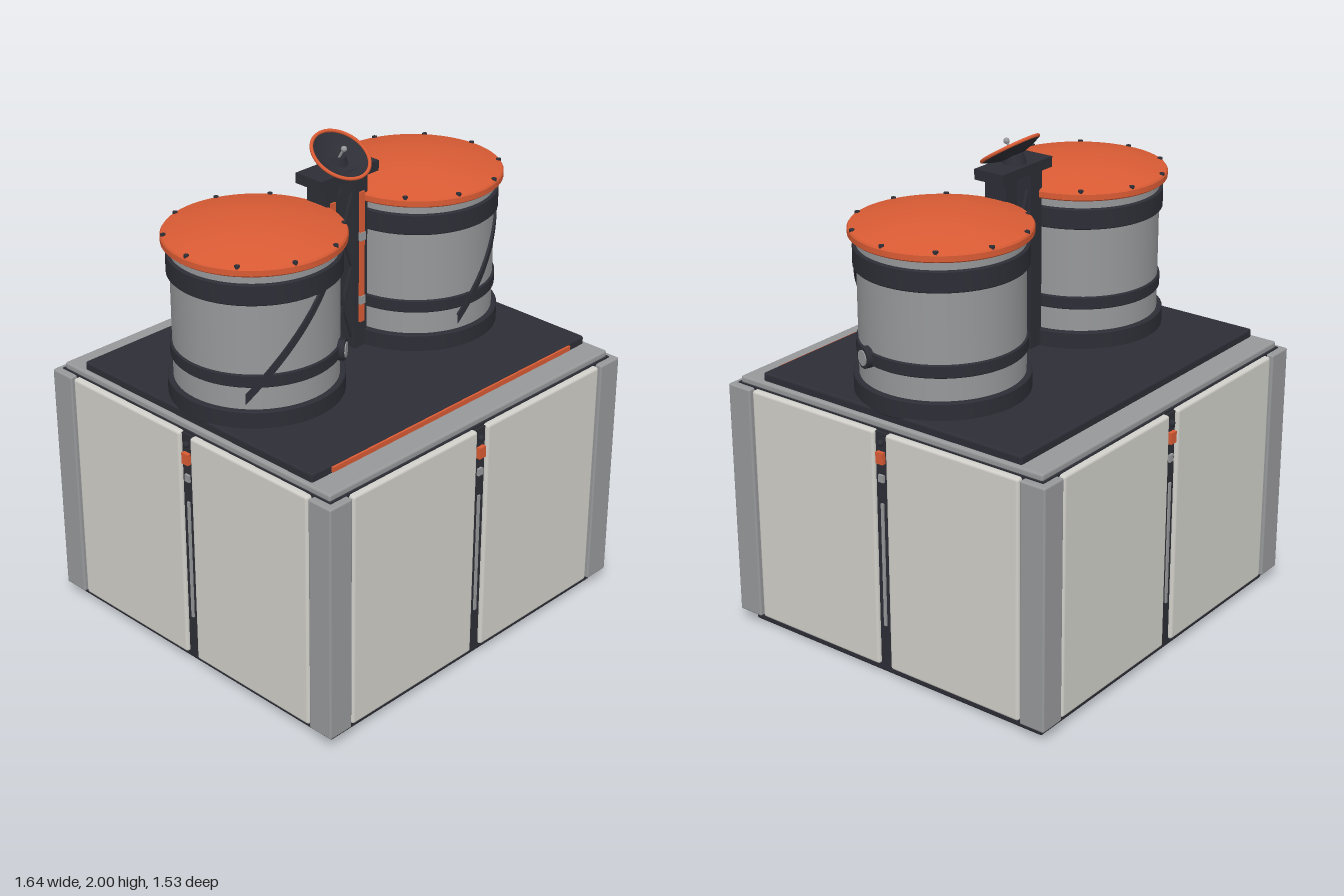
import * as THREE from 'three';
import { toCreasedNormals } from 'three/addons/utils/BufferGeometryUtils.js';
import { RoundedBoxGeometry } from 'three/addons/geometries/RoundedBoxGeometry.js';

const material = (name, color) => {
  const m = new THREE.MeshStandardMaterial({ color });
  m.name = name;
  return m;
};

export function createModel() {
  const panel = material('pale panel', 0xd0cfc9);
  const grey = material('mid grey', 0x97989a);
  const dark = material('charcoal', 0x2d2e36);
  const orange = material('orange', 0xd95b34);

  const model = new THREE.Group();
  model.name = 'storageModule';

  const group = (parent, name) => {
    const g = new THREE.Group();
    g.name = name;
    parent.add(g);
    return g;
  };
  const add = (parent, name, geo, mat, x = 0, y = 0, z = 0) => {
    const m = new THREE.Mesh(geo, mat);
    m.name = name;
    m.position.set(x, y, z);
    parent.add(m);
    return m;
  };
  // Box given by its extents on each axis
  const box = (parent, name, mat, [x0, x1], [y0, y1], [z0, z1], r = 0) => {
    const s = [x1 - x0, y1 - y0, z1 - z0];
    const geo = r ? new RoundedBoxGeometry(...s, 3, r) : new THREE.BoxGeometry(...s);
    return add(parent, name, geo, mat, (x0 + x1) / 2, (y0 + y1) / 2, (z0 + z1) / 2);
  };
  const lathe = (points, segments = 64) => toCreasedNormals(
    new THREE.LatheGeometry(points.map(p => new THREE.Vector2(...p)), segments), 0.5);

  // Cabinet core, foot and top
  const cabinet = group(model, 'cabinet');
  box(cabinet, 'foot', dark, [-0.775, 0.775], [0, 0.05], [-0.725, 0.725], 0.012);
  box(cabinet, 'core', dark, [-0.79, 0.79], [0.04, 1.05], [-0.738, 0.738]);
  box(cabinet, 'topPlate', grey, [-0.785, 0.785], [1.045, 1.076], [-0.73, 0.73], 0.01);
  box(cabinet, 'deck', dark, [-0.767, 0.767], [1.07, 1.11], [-0.625, 0.625], 0.01);
  box(cabinet, 'deckStripe', orange, [-0.67, 0.67], [1.082, 1.102], [0.62, 0.634]);

  // Corner posts
  for (const sx of [-1, 1]) for (const sz of [-1, 1]) {
    const post = add(cabinet, 'cornerPost', new RoundedBoxGeometry(0.114, 0.995, 0.112, 3, 0.008),
      grey, sx * 0.762, 0.5475, sz * 0.71);
    post.scale.x = 1;
  }

  // Two panels and a detailed seam on each of the four sides
  const sides = ['front', 'left', 'back', 'right'];
  sides.forEach((name, i) => {
    const side = group(cabinet, name + 'Side');
    side.rotation.y = i * Math.PI / 2;
    const [width, depth] = i % 2 ? [0.645, 0.815] : [0.696, 0.762];
    for (const s of [-1, 1]) {
      const xs = [s * 0.028, s * width].sort((a, b) => a - b);
      box(side, 'panel', panel, xs, [0.052, 1.045], [depth - 0.055, depth], 0.012);
    }
    box(side, 'seam', dark, [-0.03, 0.03], [0.05, 1.04], [depth - 0.05, depth - 0.015]);
    box(side, 'seamSlot', grey, [-0.006, 0.006], [0.23, 0.75], [depth - 0.02, depth - 0.008]);
    box(side, 'seamLatch', grey, [-0.012, 0.012], [0.84, 0.87], [depth - 0.02, depth - 0.005]);
    box(side, 'seamLamp', orange, [-0.017, 0.017], [0.918, 0.965], [depth - 0.02, depth + 0.002]);
    add(side, 'seamKnob', new THREE.SphereGeometry(0.013, 12, 8), dark, 0, 1.0, depth - 0.01);
  });

  // Tanks: the +x one is the same tank turned by a tenth of a circle
  const buildTank = (name, x, turn) => {
    const tank = group(model, name);
    tank.position.set(x, 0, 0);
    tank.rotation.y = turn;
    add(tank, 'tankBody', lathe([[0, 1.1], [0.316, 1.1], [0.316, 1.725], [0, 1.725]]), grey);
    const ring = (label, r, y0, y1) => add(tank, label, lathe([
      [0.3, y0], [r - 0.004, y0], [r, y0 + 0.004], [r, y1 - 0.004], [r - 0.004, y1], [0.3, y1]]), dark);
    ring('baseRing', 0.338, 1.1, 1.178);
    ring('lowerBand', 0.325, 1.27, 1.322);
    ring('upperBand', 0.33, 1.602, 1.686);

    // Domed lid with bolts
    const dome = [[0, 1.722], [0.34, 1.722], [0.347, 1.728], [0.347, 1.75], [0.342, 1.757]];
    for (let i = 1; i <= 10; i++) {
      const t = 1 - i / 10;
      dome.push([0.33 * t, 1.81 - 0.05 * t * t]);
    }
    add(tank, 'lid', lathe(dome, 72), orange);
    for (let i = 0; i < 10; i++) {
      const a = i * Math.PI / 5;
      add(tank, 'lidBolt', new THREE.CylinderGeometry(0.01, 0.01, 0.016, 10), dark,
        0.335 * Math.cos(a), 1.757, 0.335 * Math.sin(a));
    }

    // Diagonal strap: part of a ring sheared upwards along its arc
    const start = -0.89, sweep = 1.09;
    const strap = new THREE.LatheGeometry(
      [[0.312, 0], [0.326, 0], [0.326, 0.04], [0.312, 0.04]].map(p => new THREE.Vector2(...p)),
      28, start, sweep);
    const pos = strap.attributes.position;
    for (let i = 0; i < pos.count; i++) {
      const t = (Math.atan2(pos.getX(i), pos.getZ(i)) - start) / sweep;
      pos.setY(i, pos.getY(i) + 1.2 + 0.42 * t);
    }
    const strapMesh = add(tank, 'diagonalStrap', toCreasedNormals(strap, 0.5), dark);
    strapMesh.material = dark;

    // Valve on the lower band
    const valve = group(tank, 'valve');
    valve.rotation.y = 0.59;
    add(valve, 'valveCollar', new THREE.CylinderGeometry(0.042, 0.042, 0.04, 24), dark, 0, 1.295, 0.322)
      .rotation.x = Math.PI / 2;
    add(valve, 'valveFace', new THREE.CylinderGeometry(0.03, 0.03, 0.008, 24), grey, 0, 1.295, 0.342)
      .rotation.x = Math.PI / 2;
  };
  buildTank('rightTank', -0.437, 0);
  buildTank('leftTank', 0.437, Math.PI / 5);

  // Mast with two columns and crossed braces
  const mast = group(model, 'mast');
  for (const s of [-1, 1]) {
    const c = s * 0.079;
    box(mast, 'column', dark, [c - 0.034, c + 0.034], [1.1, 1.845], [-0.05, 0.05]);
    box(mast, 'columnStripe', orange, [c - 0.012, c + 0.012], [1.22, 1.77], [0.045, 0.058]);
    for (const y of [1.315, 1.585])
      box(mast, 'stripeClip', grey, [c - 0.014, c + 0.014], [y - 0.017, y + 0.017], [0.045, 0.062]);
    for (const z of [-0.03, 0.03]) for (const y of [1.31, 1.61]) {
      const brace = add(mast, 'brace', new THREE.BoxGeometry(0.014, 0.325, 0.014), dark, 0, y, z);
      brace.rotation.z = s * Math.atan2(0.1, 0.3);
    }
  }
  box(mast, 'mastCap', dark, [-0.155, 0.155], [1.838, 1.88], [-0.068, 0.068]);
  add(mast, 'dishMount', new THREE.CylinderGeometry(0.035, 0.05, 0.05, 20), dark, 0, 1.895, -0.005);

  // Tilted dish
  const dish = group(mast, 'dish');
  dish.position.set(0, 1.932, 0.017);
  dish.rotation.x = Math.atan2(0.135, 0.215);
  const bowl = [];
  for (let i = 0; i <= 8; i++) bowl.push([0.12 * i / 8, -0.03 + 0.03 * (i / 8) ** 2]);
  for (let i = 8; i >= 0; i--) bowl.push([0.12 * i / 8, -0.036 + 0.03 * (i / 8) ** 2]);
  // Profile runs from the underside out and back over the inside
  add(dish, 'dishBowl', lathe(bowl.reverse(), 40), dark);
  add(dish, 'dishRim', new THREE.TorusGeometry(0.119, 0.007, 10, 48), orange).rotation.x = Math.PI / 2;
  add(dish, 'feedRod', new THREE.CylinderGeometry(0.005, 0.005, 0.06, 10), grey, 0, 0, 0);
  add(dish, 'feedHead', new THREE.SphereGeometry(0.012, 14, 10), grey, 0, 0.032, 0);

  return model;
}
